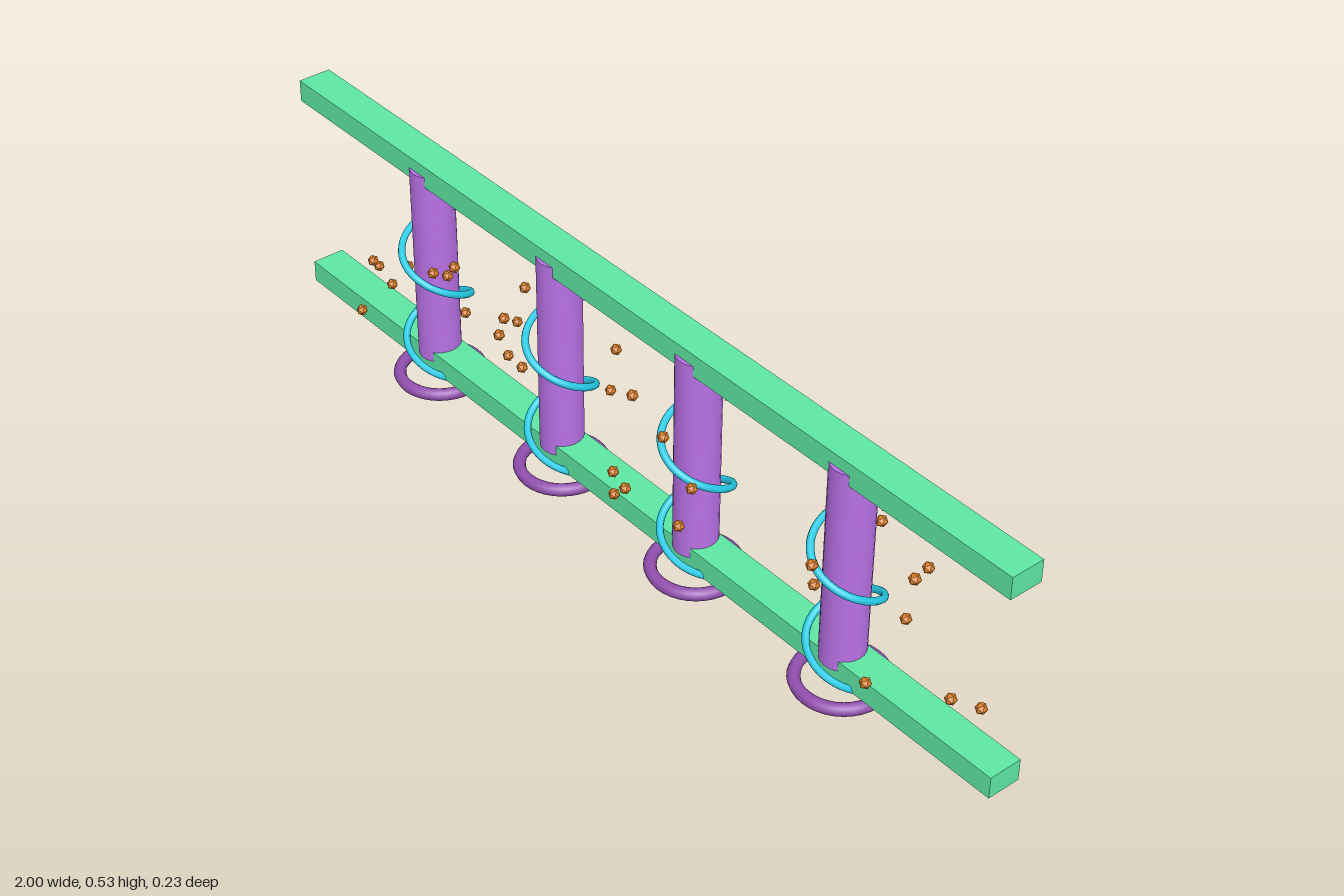
import * as THREE from 'three';

const mat = (name, color) => Object.assign(new THREE.MeshStandardMaterial({ color }), { name });

// Coil that climbs around a vertical axis
class Helix extends THREE.Curve {
  constructor(radius, height, turns) {
    super();
    Object.assign(this, { radius, height, turns });
  }
  getPoint(t, out = new THREE.Vector3()) {
    const a = t * this.turns * Math.PI * 2;
    return out.set(this.radius * Math.cos(a), this.height * t, this.radius * Math.sin(a));
  }
}

export function createModel() {
  const model = new THREE.Group();
  model.name = 'coiledFence';
  const green = mat('railGreen', 0x5ee8a5);
  const purple = mat('postPurple', 0xb870e5);
  const plum = mat('ringPlum', 0x9350b0);
  const teal = mat('coilTeal', 0x26cbe6);
  const bronze = mat('beadBronze', 0xdd8028);
  bronze.flatShading = true;
  const Z = 0.002;

  const add = (parent, name, geometry, material, x, y, z) => {
    const mesh = new THREE.Mesh(geometry, material);
    mesh.name = name;
    mesh.position.set(x, y, z);
    parent.add(mesh);
  };

  // Two long rails
  const railGeo = new THREE.BoxGeometry(2, 0.047, 0.071);
  add(model, 'lowerRail', railGeo, green, 0, 0.0645, Z);
  add(model, 'upperRail', railGeo, green, 0, 0.5045, Z);

  // Four posts, each with a foot ring and a two-turn coil
  const postGeo = new THREE.CylinderGeometry(0.044, 0.044, 0.438, 24);
  const ringGeo = new THREE.TorusGeometry(0.085, 0.0128, 8, 36).rotateX(Math.PI / 2);
  const coilGeo = new THREE.TubeGeometry(new Helix(0.067, 0.418, 2), 96, 0.0074, 8);
  for (const x of [-0.6, -0.2, 0.2, 0.6]) {
    const unit = new THREE.Group();
    unit.name = 'postUnit';
    unit.position.set(x, 0, Z);
    add(unit, 'post', postGeo, purple, 0, 0.284, 0);
    add(unit, 'footRing', ringGeo, plum, 0, 0.0135, 0);
    add(unit, 'coil', coilGeo, teal, 0, 0.027, 0);
    model.add(unit);
  }

  // Small faceted beads floating around the posts
  const beads = [
    [-0.84, 0.136, -0.02], [-0.8, 0.187, 0.02], [-0.746, 0.18, -0.03], [-0.735, 0.163, 0.02],
    [-0.73, 0.137, 0.1], [-0.66, 0.148, -0.083], [-0.495, 0.217, 0.01], [-0.479, 0.152, -0.105],
    [-0.457, 0.374, 0.109], [-0.425, 0.38, 0.098], [-0.393, 0.419, 0.104], [-0.398, 0.153, -0.02],
    [-0.361, 0.195, -0.105], [-0.31, 0.388, -0.091], [-0.297, 0.382, 0.01], [-0.26, 0.366, 0.089],
    [-0.265, 0.329, 0.098], [-0.25, 0.243, 0.057], [-0.152, 0.27, -0.095], [-0.142, 0.189, -0.073],
    [0.052, 0.184, 0.079], [0.056, 0.134, 0.08], [0.115, 0.195, 0.102], [0.12, 0.404, 0.089],
    [0.206, 0.361, 0.089], [0.286, 0.439, -0.02], [0.265, 0.271, 0.071], [0.254, 0.188, 0.091],
    [0.505, 0.32, -0.078], [0.515, 0.321, -0.04], [0.575, 0.243, 0.057], [0.607, 0.329, 0.096],
    [0.57, 0.298, -0.105], [0.703, 0.286, -0.09], [0.794, 0.411, -0.105], [0.832, 0.438, 0.081],
    [0.67, 0.153, -0.079], [0.735, 0.14, 0.079], [0.89, 0.186, 0.032], [0.906, 0.14, -0.029],
  ];
  const beadGeo = new THREE.IcosahedronGeometry(0.0118, 0);
  beads.forEach(([x, y, z]) => add(model, 'bead', beadGeo, bronze, x, y, z));

  return model;
}
